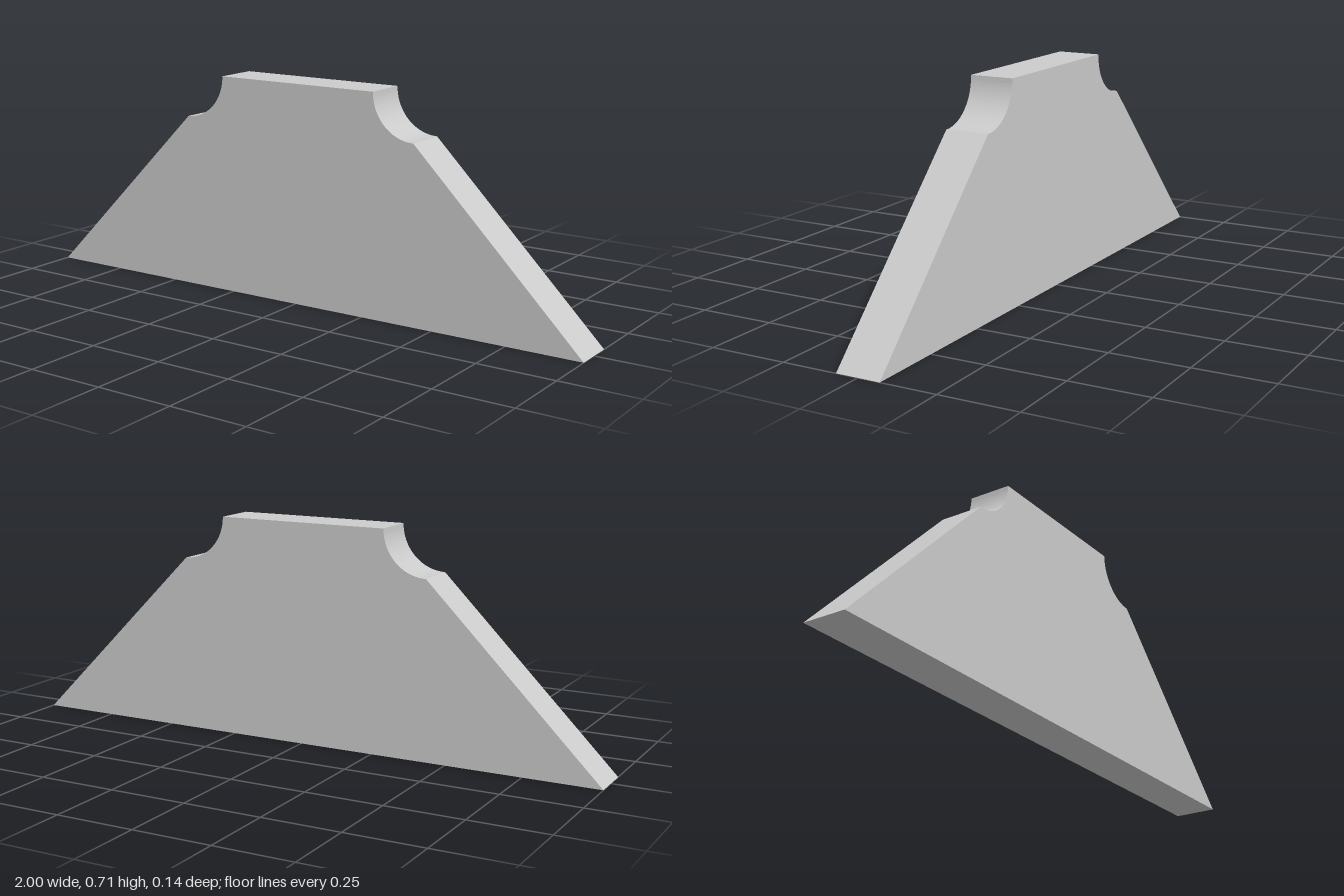
import * as THREE from 'three';
import { toCreasedNormals } from 'three/addons/utils/BufferGeometryUtils.js';

export function createModel() {
  const group = new THREE.Group();
  group.name = 'gusset';

  const u = 1 / 7;          // module: thickness and cove radius
  const top = 5 * u;        // height of the plate
  const coveX = 3 * u;      // centre of each cove

  // Trapezoid outline with a quarter-round cove at each upper corner
  const outline = new THREE.Shape();
  outline.moveTo(-1, 0);
  outline.lineTo(1, 0);
  outline.lineTo(coveX, top - u);
  outline.absarc(coveX, top, u, -Math.PI / 2, -Math.PI, true);
  outline.lineTo(-coveX + u, top);
  outline.absarc(-coveX, top, u, 0, -Math.PI / 2, true);
  outline.closePath();

  const extruded = new THREE.ExtrudeGeometry(outline, { depth: u, bevelEnabled: false, curveSegments: 24 });
  extruded.translate(0, 0, -u / 2);

  const plate = new THREE.Mesh(
    toCreasedNormals(extruded, 0.4),
    new THREE.MeshStandardMaterial({ color: 0xcccccc })
  );
  plate.name = 'plate';
  group.add(plate);
  return group;
}
